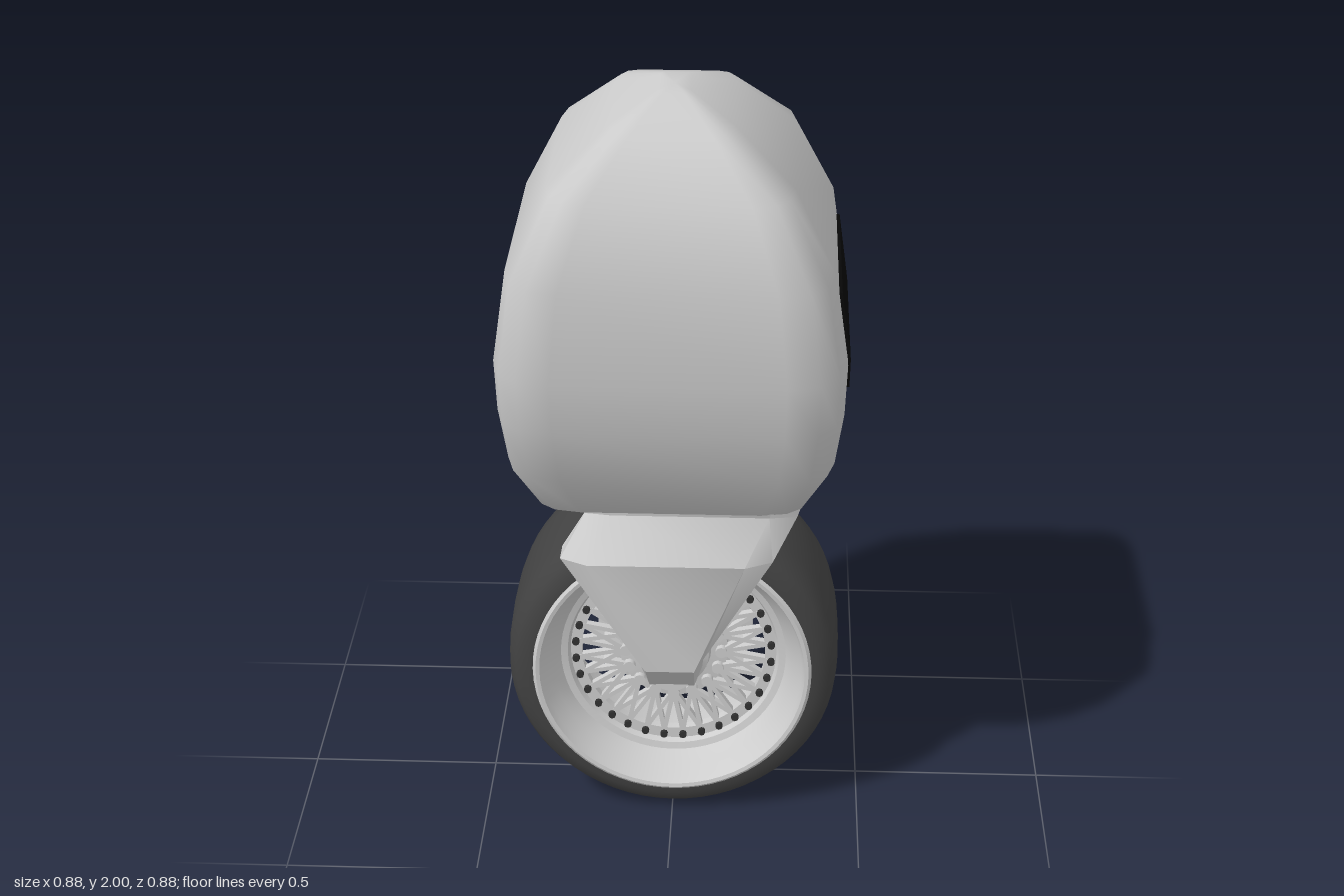
import * as THREE from 'three';
import { toCreasedNormals } from 'three/addons/utils/BufferGeometryUtils.js';

const mat = (name, color, side = THREE.FrontSide) => {
  const m = new THREE.MeshStandardMaterial({ color, side });
  m.name = name;
  return m;
};

// Skin a stack of closed rings (top to bottom) and cap both ends
function loft(rings, flip = false) {
  const n = rings[0].length, pos = rings.flat(2), idx = [];
  const tri = (a, b, c) => (flip ? idx.push(a, c, b) : idx.push(a, b, c));
  rings.slice(1).forEach((_, r) => {
    for (let i = 0; i < n; i++) {
      const a = r * n + i, b = r * n + (i + 1) % n;
      tri(a, b, a + n);
      tri(b, b + n, a + n);
    }
  });
  const cap = (r, bottom) => {
    const c = pos.length / 3;
    for (let k = 0; k < 3; k++) pos.push(rings[r].reduce((s, p) => s + p[k], 0) / n);
    for (let i = 0; i < n; i++) {
      const a = r * n + i, b = r * n + (i + 1) % n;
      bottom ? tri(c, a, b) : tri(c, b, a);
    }
  };
  cap(0, false);
  cap(rings.length - 1, true);
  const g = new THREE.BufferGeometry();
  g.setAttribute('position', new THREE.Float32BufferAttribute(pos, 3));
  g.setIndex(idx);
  g.computeVertexNormals();
  return g;
}

// Lathe around the wheel axle (z); profile is [radius, z]
const turned = (profile, crease = 0.5) => toCreasedNormals(
  new THREE.LatheGeometry(profile.map(p => new THREE.Vector2(...p)), 64).rotateX(Math.PI / 2), crease);

export function createModel() {
  const model = new THREE.Group();
  const shell = mat('shellGrey', 0xcbcbcb);
  const alloy = mat('alloyGrey', 0xcdcdcd, THREE.DoubleSide);
  const rubber = mat('tyreRubber', 0x424242);
  const black = mat('panelBlack', 0x070707);
  const steel = mat('boltDark', 0x303030);
  const add = (name, geo, material, parent = model) => {
    const m = new THREE.Mesh(geo, material);
    m.name = name;
    parent.add(m);
    return m;
  };

  // Egg-shaped body: rounded squares of half width x and half depth z
  const square = [];
  for (let q = 0; q < 4; q++) {
    for (let [x, z] of [[1, 0.66], [0.955, 0.85], [0.85, 0.955], [0.66, 1]]) {
      for (let k = 0; k < q; k++) [x, z] = [-z, x];
      square.push([x, z]);
    }
  }
  const rows = [
    [2, 0.04, 0.08], [1.95, 0.15, 0.24], [1.82, 0.3, 0.37], [1.62, 0.4, 0.438], [1.38, 0.435, 0.436],
    [1.24, 0.43, 0.415], [1.09, 0.41, 0.37], [0.955, 0.345, 0.28], [0.915, 0.23, 0.19],
  ];
  add('body', loft(rows.map(([y, hx, hz]) => square.map(([x, z]) => [x * hx, y, z * hz]))), shell);

  // Dark panel following the curve of the left side
  const panel = new THREE.BoxGeometry(0.008, 0.26, 0.51, 1, 2, 1);
  const pp = panel.attributes.position;
  for (let i = 0; i < pp.count; i++) {
    const y = pp.getY(i);
    const [py, px, w] = y > 0.1 ? [1.56, 0.413, 0.255] : y < -0.1 ? [1.3, 0.437, 0.24] : [1.38, 0.438, 0.255];
    pp.setXYZ(i, px + pp.getX(i), py, Math.sign(pp.getZ(i)) * w);
  }
  panel.computeVertexNormals();
  add('sidePanel', panel, black);

  // Fork legs: [left x, right x, outer y, outer z, inner y, inner z]
  const leg = [
    [-0.26, 0.35, 1.02, 0.29, 1.0, 0.1], [-0.22, 0.32, 0.945, 0.275, 0.915, 0.19],
    [-0.28, 0.26, 0.84, 0.35, 0.83, 0.23], [-0.085, 0.085, 0.53, 0.35, 0.57, 0.23],
    [-0.08, 0.08, 0.4, 0.205, 0.57, 0.2],
  ];
  for (const s of [1, -1]) {
    const rings = leg.map(([x0, x1, yo, zo, yi, zi]) => {
      const c = 0.13 * (x1 - x0), ym = yo * 0.65 + yi * 0.35, zm = zo * 0.65 + zi * 0.35;
      return [[x0, yi, zi], [x1, yi, zi], [x1, ym, zm], [x1 - c, yo, zo], [x0 + c, yo, zo], [x0, ym, zm]]
        .map(([x, y, z]) => [x, y, s * z]);
    });
    add(s > 0 ? 'frontForkLeg' : 'backForkLeg', toCreasedNormals(loft(rings, s < 0), 0.6), shell);
  }

  // Wheel, turning about z
  const wheel = new THREE.Group();
  wheel.name = 'wheel';
  wheel.position.y = 0.443;
  model.add(wheel);
  const half = [[0.44, 0], [0.438, 0.1], [0.432, 0.16], [0.415, 0.19], [0.385, 0.207], [0.362, 0.208], [0.35, 0.198]];
  add('tyre', turned([...half.slice(1).reverse().map(([r, z]) => [r, -z]), ...half], 0.7), rubber, wheel);
  add('rim', turned([
    [0.368, -0.208], [0.36, -0.215], [0.35, -0.213], [0.342, -0.19], [0.33, -0.15], [0.318, -0.06], [0.3, 0.06],
    [0.245, 0.075], [0.245, 0.1], [0.275, 0.1], [0.282, 0.115], [0.3, 0.12], [0.318, 0.16], [0.342, 0.19],
    [0.35, 0.213], [0.36, 0.215], [0.368, 0.208],
  ]), alloy, wheel);
  add('brakeDiscAndHub', turned([
    [0, -0.215], [0.055, -0.215], [0.055, -0.16], [0.085, -0.15], [0.085, -0.12], [0.11, -0.11], [0.11, -0.08],
    [0.21, -0.075], [0.21, -0.03], [0.145, -0.02], [0.145, 0.09], [0.1, 0.095], [0.095, 0.12], [0.07, 0.13],
    [0.055, 0.14], [0.055, 0.215], [0, 0.215],
  ]), alloy, wheel);

  // Crossed lattice spokes, hub studs and rim bolts
  const at = (r, a, z) => new THREE.Vector3(r * Math.cos(a), r * Math.sin(a), z);
  const N = 16, step = Math.PI * 2 / N;
  const stud = new THREE.CylinderGeometry(0.016, 0.016, 0.022, 10).rotateX(Math.PI / 2);
  const bolt = new THREE.CylinderGeometry(0.01, 0.01, 0.014, 8).rotateX(Math.PI / 2);
  for (let i = 0; i < N; i++) {
    const a = i * step;
    add('hubStud', stud, alloy, wheel).position.copy(at(0.128, a, 0.098));
    for (const k of [-0.75, -0.25, 0.25, 0.75]) {
      const p = at(0.128, a, 0.088), q = at(0.255, a + k * step, 0.094), d = q.clone().sub(p);
      const spoke = add('spoke', new THREE.BoxGeometry(d.length(), 0.012, 0.02), alloy, wheel);
      spoke.position.copy(p).add(q).multiplyScalar(0.5);
      spoke.rotation.z = Math.atan2(d.y, d.x);
    }
    for (const k of [-0.25, 0.25]) add('rimBolt', bolt, steel, wheel).position.copy(at(0.262, a + k * step, 0.105));
  }
  return model;
}
